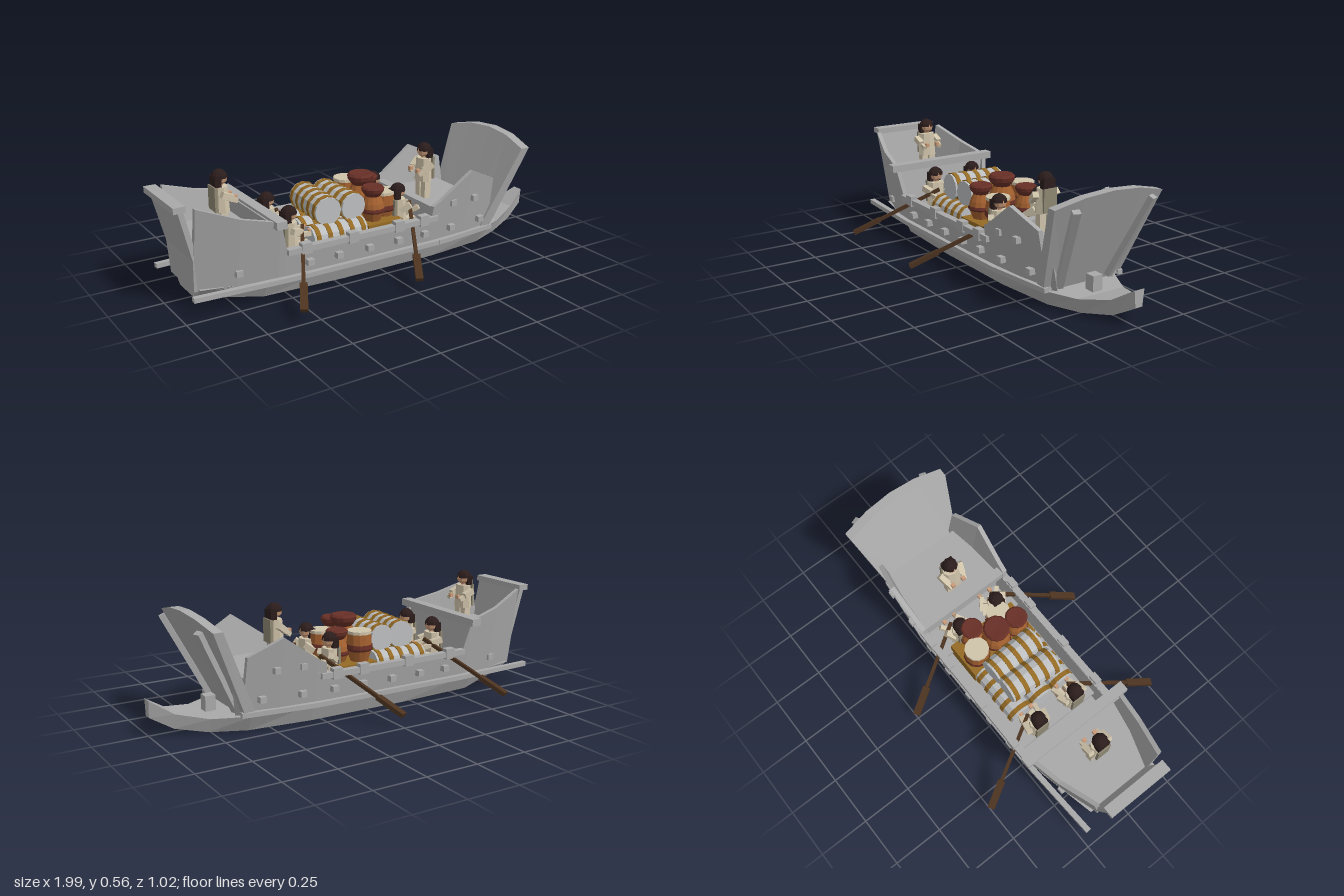
import * as THREE from 'three';

const mat = (name, color) => Object.assign(new THREE.MeshStandardMaterial({ color }), { name });
const M = {
  timber: mat('grey timber', 0xa9a9a9), linen: mat('cream linen', 0xcfc3aa), cape: mat('olive cape', 0x8d8672),
  skin: mat('skin', 0xc99a78), hair: mat('dark hair', 0x2b1d1c), oar: mat('oar brown', 0x4c3320),
  cloth: mat('pale cloth', 0xbcbec0), strap: mat('ochre strap', 0x946a24),
  pot: mat('orange clay', 0xa3602f), rim: mat('red clay', 0x672f26),
};

const V = (x, y, z) => new THREE.Vector3(x, y, z);

// faceted mesh helper
function add(parent, name, geo, material, x = 0, y = 0, z = 0) {
  const g = geo.index ? geo.toNonIndexed() : geo;
  g.computeVertexNormals();
  const m = new THREE.Mesh(g, material);
  m.name = name;
  m.position.set(x, y, z);
  parent.add(m);
  return m;
}
const box = (p, name, m, w, h, d, x, y, z) => add(p, name, new THREE.BoxGeometry(w, h, d), m, x, y, z);

// square bar between two points
function bar(p, name, m, a, b, w, h = w) {
  const mesh = box(p, name, m, w, h, a.distanceTo(b), 0, 0, 0);
  mesh.position.copy(a).lerp(b, 0.5);
  mesh.lookAt(b);
  return mesh;
}

// closed solid through matching cross-sections, always facing outwards
function loft(rings) {
  const tris = [], n = rings[0].length;
  for (let i = 0; i < rings.length - 1; i++)
    for (let j = 0; j < n; j++) {
      const k = (j + 1) % n, a = rings[i], b = rings[i + 1];
      tris.push([a[j], b[j], b[k]], [a[j], b[k], a[k]]);
    }
  const first = rings[0], last = rings[rings.length - 1];
  for (let j = 1; j < n - 1; j++) {
    tris.push([first[0], first[j], first[j + 1]], [last[0], last[j + 1], last[j]]);
  }
  const c = first[0];
  let vol = 0;
  for (const [p, q, r] of tris)
    vol += p.clone().sub(c).dot(q.clone().sub(c).cross(r.clone().sub(c)));
  const pts = tris.flatMap(t => (vol < 0 ? [t[0], t[2], t[1]] : t));
  return new THREE.BufferGeometry().setFromPoints(pts);
}

// person facing +x with feet at the origin
function person(parent, name, x, y, z, seated, turn = 0) {
  const g = new THREE.Group();
  g.name = name;
  g.position.set(x, y, z);
  g.rotation.y = turn;
  parent.add(g);
  const torso = add(g, 'tunic', new THREE.CylinderGeometry(0.042, 0.05, 0.115, 8), M.linen, 0, 0.145, 0);
  torso.scale.x = 0.75;
  box(g, 'cape', M.cape, 0.012, 0.11, 0.07, -0.036, 0.15, 0);
  add(g, 'neck', new THREE.CylinderGeometry(0.013, 0.013, 0.02, 6), M.skin, 0, 0.207, 0);
  add(g, 'head', new THREE.SphereGeometry(0.03, 8, 6), M.skin, 0.005, 0.237, 0);
  add(g, 'hair', new THREE.SphereGeometry(0.037, 9, 4, 0, Math.PI * 2, 0, 1.6), M.hair, -0.002, 0.24, 0);
  box(g, 'backHair', M.hair, 0.03, 0.045, 0.062, -0.02, 0.225, 0);
  for (const s of [-1, 1]) {
    if (seated) {
      box(g, 'thigh', M.linen, 0.085, 0.03, 0.03, 0.035, 0.09, s * 0.024);
      box(g, 'shin', M.skin, 0.025, 0.06, 0.024, 0.07, 0.055, s * 0.024);
    } else box(g, 'leg', M.linen, 0.034, 0.095, 0.034, 0, 0.0475, s * 0.022);
    const reach = seated ? 0.085 : 0.055;
    const elbow = V(0.018, 0.14, s * 0.058), hand = V(reach, 0.148, s * 0.03);
    bar(g, 'sleeve', M.linen, V(0, 0.19, s * 0.045), elbow, 0.028);
    bar(g, 'forearm', M.linen, elbow, hand, 0.02);
    box(g, 'hand', M.skin, 0.018, 0.018, 0.018, hand.x, hand.y, hand.z);
  }
}

// rolled bale lying along its local y axis, with straps
function bale(parent, x, y, z, r, len, alongX, skew = 0) {
  const g = new THREE.Group();
  g.name = 'bale';
  g.position.set(x, y, z);
  g.rotation.set(alongX ? 0 : Math.PI / 2, 0, alongX ? Math.PI / 2 : skew);
  parent.add(g);
  add(g, 'roll', new THREE.CylinderGeometry(r, r, len, 12), M.cloth);
  for (let i = 0; i < 5; i++)
    add(g, 'strap', new THREE.CylinderGeometry(r + 0.004, r + 0.004, 0.022, 12), M.strap, 0, (i - 2) * len * 0.21, 0);
}

const lathe = (pts) => new THREE.LatheGeometry(pts.map(p => new THREE.Vector2(...p)), 12);

function jar(parent, x, y, z, k) {
  const g = new THREE.Group();
  g.name = 'jar';
  g.position.set(x, y, z);
  g.scale.setScalar(k);
  parent.add(g);
  add(g, 'jarBody', lathe([[0, 0], [0.045, 0], [0.068, 0.06], [0.06, 0.1], [0.042, 0.14]]), M.pot);
  add(g, 'jarBand', lathe([[0.068, 0.05], [0.072, 0.06], [0.068, 0.075]]), M.rim);
  add(g, 'jarRim', lathe([[0.042, 0.14], [0.06, 0.165], [0.064, 0.185], [0.055, 0.195], [0, 0.19]]), M.rim);
}

function tub(parent, x, y, z) {
  const g = new THREE.Group();
  g.name = 'tub';
  g.position.set(x, y, z);
  parent.add(g);
  add(g, 'tubBody', lathe([[0, 0], [0.042, 0], [0.06, 0.06], [0.055, 0.13]]), M.pot);
  add(g, 'tubBand', lathe([[0.059, 0.05], [0.064, 0.06], [0.061, 0.08]]), M.rim);
  add(g, 'tubLid', new THREE.CylinderGeometry(0.058, 0.058, 0.014, 12), M.linen, 0, 0.137, 0);
}

export function createModel() {
  const ship = new THREE.Group();
  ship.name = 'riverBoat';

  // lower hull: x, bottom y, top y, bottom and top half-widths
  const hull = [[-0.89, 0.03, 0.09, 0.08, 0.15], [-0.6, 0, 0.09, 0.17, 0.215], [-0.2, 0, 0.09, 0.19, 0.225],
    [0.3, 0, 0.09, 0.19, 0.225], [0.6, 0, 0.075, 0.16, 0.2], [0.76, 0.003, 0.07, 0.1, 0.125],
    [0.9, 0.03, 0.1, 0.05, 0.065], [1, 0.088, 0.165, 0.018, 0.026]];
  add(ship, 'lowerHull', loft(hull.map(([x, b, t, wb, wt]) =>
    [V(x, b, -wb), V(x, b, wb), V(x, t, wt), V(x, t, -wt)])), M.timber);
  box(ship, 'bowBollard', M.timber, 0.05, 0.075, 0.05, 0.715, 0.105, 0);

  // decks: x, half-width, top y
  const deck = (name, st, top) => add(ship, name, loft(st.map(([x, w]) =>
    [V(x, 0.08, -w + 0.02), V(x, 0.08, w - 0.02), V(x, top, w), V(x, top, -w)])), M.timber);
  deck('cargoDeck', [[-0.56, 0.225], [0.28, 0.225]], 0.13);
  deck('sternDeck', [[-0.9, 0.14], [-0.73, 0.2], [-0.56, 0.24]], 0.285);
  deck('bowDeck', [[0.28, 0.235], [0.47, 0.225], [0.61, 0.195]], 0.235);

  // side walls: x, top y, half-width at y = 0.2
  const wall = [[-0.91, 0.475, 0.145], [-0.73, 0.41, 0.205], [-0.555, 0.37, 0.24], [-0.52, 0.23, 0.243],
    [-0.1, 0.225, 0.247], [0.25, 0.23, 0.245], [0.255, 0.28, 0.245], [0.3, 0.305, 0.243],
    [0.47, 0.425, 0.232], [0.63, 0.35, 0.208], [0.64, 0.1, 0.208]];
  const zAt = (h, y) => h + (y - 0.2) * 0.17;
  const beamEnds = [[-0.73, 0.19], [-0.41, 0.243], [-0.26, 0.243], [-0.1, 0.245], [0.06, 0.245], [0.21, 0.243], [0.37, 0.235], [0.56, 0.215]];
  for (const s of [-1, 1]) {
    add(ship, 'sideWall', loft(wall.map(([x, t, h]) => [V(x, 0.08, s * zAt(h, 0.08)), V(x, t, s * zAt(h, t)),
      V(x, t, s * (zAt(h, t) - 0.022)), V(x, 0.08, s * (zAt(h, 0.08) - 0.022))])), M.timber);
    // rubbing strake and gunwale
    const strake = [V(-0.95, 0.088, s * 0.215), V(-0.5, 0.088, s * 0.238), V(0.3, 0.088, s * 0.238), V(0.65, 0.088, s * 0.2)];
    for (let i = 0; i < 3; i++) bar(ship, 'strake', M.timber, strake[i], strake[i + 1], 0.026, 0.022);
    bar(ship, 'gunwale', M.timber, V(-0.52, 0.22, s * 0.246), V(0.28, 0.22, s * 0.246), 0.034, 0.026);
    for (const [x, z] of beamEnds) box(ship, 'beamEnd', M.timber, 0.032, 0.028, 0.045, x, 0.152, s * z);
    for (const x of [0.37, 0.5]) box(ship, 'upperBeamEnd', M.timber, 0.03, 0.028, 0.03, x, 0.28, s * 0.25);
    for (const x of [-0.43, -0.19, 0.06, 0.2]) box(ship, 'oarBlock', M.timber, 0.05, 0.05, 0.034, x, 0.224, s * 0.25);
    // stem posts on the raised bow board
    bar(ship, 'stemPost', M.timber, V(0.645, 0.09, s * 0.135), V(0.838, 0.48, s * 0.2), 0.034, 0.026);
    bar(ship, 'bowKnee', M.timber, V(0.64, 0.08, s * 0.15), V(0.67, 0.21, s * 0.195), 0.028, 0.02);
  }

  // raised bow board, slightly folded across its width
  add(ship, 'bowBoard', loft([-1, -0.5, 0, 0.5, 1].map(f => {
    const a = Math.abs(f), top = 0.535 - 0.045 * a * a, x = 0.83 - 0.025 * a * a;
    return [V(0.63, 0.075, f * 0.205), V(x, top, f * 0.282), V(x - 0.045, top, f * 0.28), V(0.575, 0.075, f * 0.2)];
  })), M.timber);

  // stern transom and its top beam
  add(ship, 'transom', loft([[-0.91, 0.08, 0.13], [-0.915, 0.23, 0.15], [-0.975, 0.47, 0.16]].map(([x, y, w]) =>
    [V(x, y, -w), V(x, y, w), V(x + 0.025, y, w), V(x + 0.025, y, -w)])), M.timber);
  box(ship, 'transomBeam', M.timber, 0.055, 0.028, 0.335, -0.967, 0.474, 0);

  // bulkheads, cross beams and rowing benches
  add(ship, 'sternBulkhead', loft([[-0.525, 0.13, 0.225], [-0.565, 0.37, 0.255]].map(([x, y, w]) =>
    [V(x, y, -w), V(x, y, w), V(x - 0.03, y, w), V(x - 0.03, y, -w)])), M.timber);
  box(ship, 'sternBeam', M.timber, 0.05, 0.035, 0.585, -0.563, 0.365, 0);
  box(ship, 'bowBeam', M.timber, 0.045, 0.04, 0.5, 0.277, 0.255, 0);
  for (const x of [-0.44, 0.145]) box(ship, 'bench', M.timber, 0.06, 0.02, 0.46, x, 0.165, 0);

  // oars and rowers
  for (const dx of [0, 0.585]) for (const s of [-1, 1]) {
    const at = t => V(-0.58 + 0.205 * t + dx, 0.06 + 0.215 * t, s * (0.5 - 0.38 * t));
    bar(ship, 'oarShaft', M.oar, at(0.2), at(1), 0.016);
    bar(ship, 'oarBlade', M.oar, at(0), at(0.3), 0.034, 0.02);
    person(ship, 'rower', -0.432 + dx, 0.1, s * 0.108, true);
  }
  person(ship, 'helmsman', -0.71, 0.287, 0, false);
  person(ship, 'lookout', 0.37, 0.24, 0.01, false, Math.PI);

  // strapped bales in two layers
  for (const z of [-0.125, 0, 0.125]) bale(ship, -0.205, 0.2, z, 0.062, 0.28, true);
  bale(ship, -0.24, 0.318, 0.0, 0.066, 0.27, false, 0.05);
  bale(ship, -0.117, 0.315, 0.0, 0.064, 0.27, false, -0.04);

  // jars and tubs on a crate
  box(ship, 'crate', M.strap, 0.19, 0.09, 0.37, 0.035, 0.18, 0);
  jar(ship, 0.01, 0.228, 0, 1);
  jar(ship, 0.005, 0.225, 0.115, 0.85);
  jar(ship, 0.095, 0.215, -0.08, 0.83);
  tub(ship, 0, 0.225, -0.125);
  tub(ship, 0.09, 0.2, 0.075);
  return ship;
}
